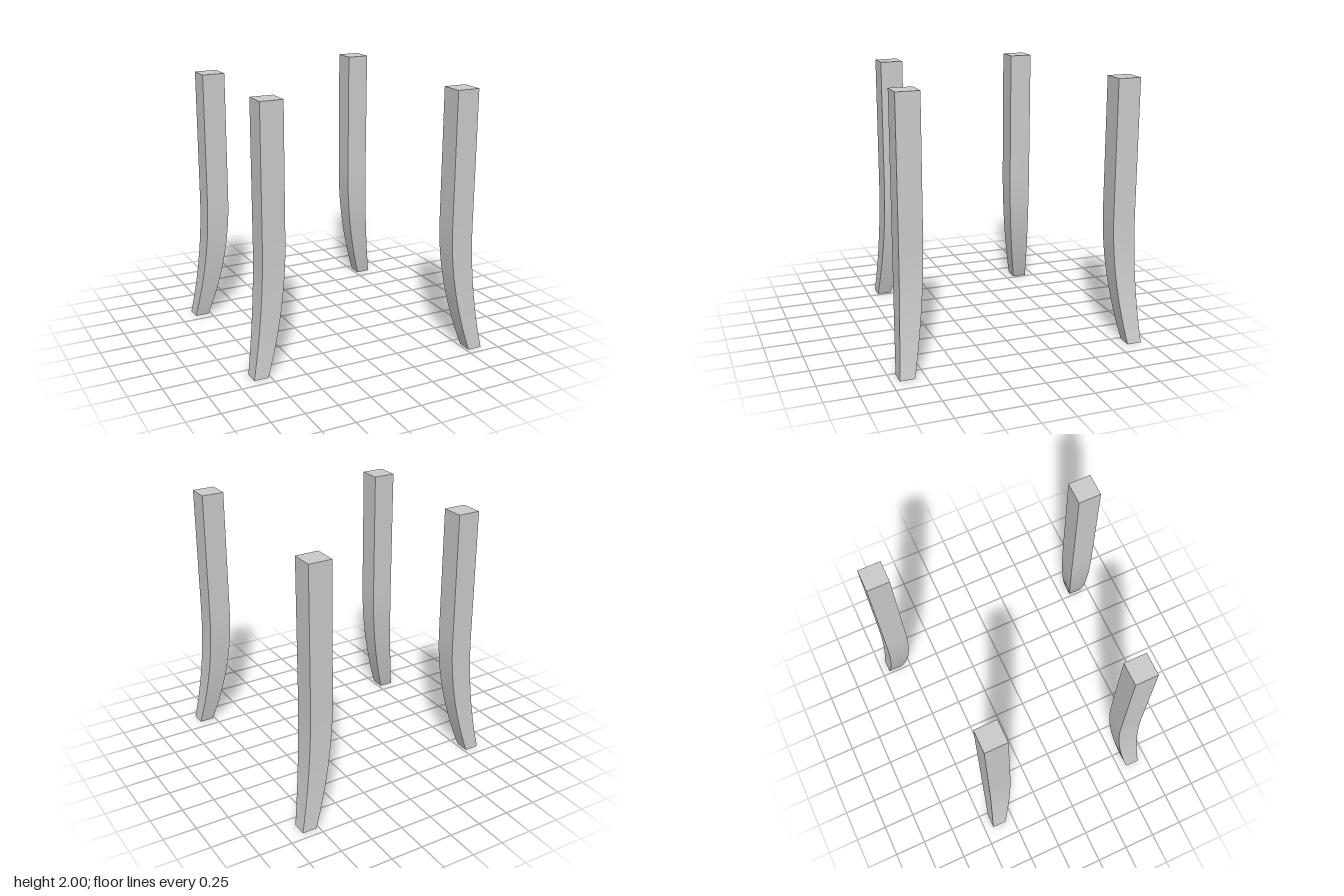
import * as THREE from 'three';

const ROWS = 16;      // length segments: one straight, the rest curved
const BEND = 1.0;     // height where the leg starts to flare
const WIDTH = 0.174;  // square section of the straight part

// Square leg whose lower half tapers and sweeps outward along a parabola.
// sx, sz: outward direction; innerX, innerZ: distance of its inner faces from the centre.
function legGeometry(sx, sz, innerX, innerZ) {
  const geo = new THREE.BoxGeometry(1, 1, 1, 1, ROWS, 1);
  const p = geo.attributes.position;
  for (let i = 0; i < p.count; i++) {
    const row = Math.round((0.5 - p.getY(i)) * ROWS);
    const t = row === 0 ? 0 : (row - 1) / (ROWS - 1);
    const y = row === 0 ? 2 : BEND * (1 - t);
    const flare = t * t;
    const outX = p.getX(i) * sx > 0, outZ = p.getZ(i) * sz > 0;
    const x = innerX + (outX ? WIDTH + 0.1 * flare : 0.164 * flare);
    const z = innerZ + (outZ ? WIDTH + 0.042 * flare : 0.105 * flare);
    p.setXYZ(i, sx * x, y, sz * z);
  }
  geo.computeVertexNormals();
  return geo;
}

export function createModel() {
  const group = new THREE.Group();
  const material = new THREE.MeshStandardMaterial({ color: 0xcccccc });

  // The two legs on +x stand wider apart than the two on -x
  for (const [sx, side, innerZ] of [[1, 'Left', 0.726], [-1, 'Right', 0.463]]) {
    for (const [sz, end] of [[1, 'front'], [-1, 'back']]) {
      const leg = new THREE.Mesh(legGeometry(sx, sz, 0.606, innerZ), material);
      leg.name = end + side + 'Leg';
      group.add(leg);
    }
  }
  return group;
}
